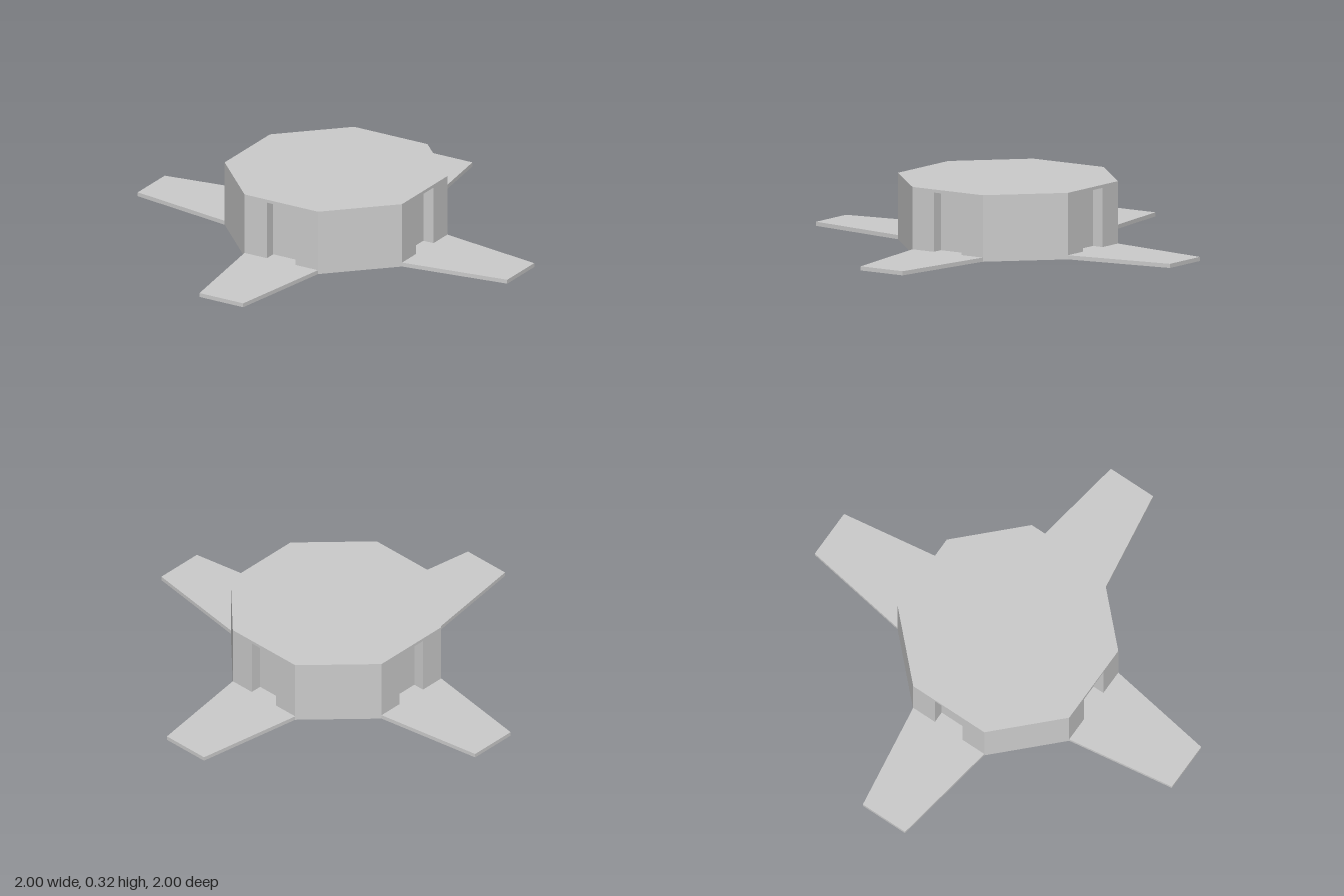
import * as THREE from 'three';

const R = 0.535, C = R * Math.SQRT1_2; // octagon corner radius and its 45 degree coordinate

// Repeat one quarter of a plan outline around the vertical axis
function plan(quarter) {
  const points = [];
  for (let k = 0; k < 4; k++) {
    for (const [x, y] of quarter) {
      points.push(new THREE.Vector2(x, y).rotateAround(new THREE.Vector2(), k * Math.PI / 2));
    }
  }
  return new THREE.Shape(points);
}

export function createModel() {
  const group = new THREE.Group();
  const material = new THREE.MeshStandardMaterial({ color: 0xcccccc, flatShading: true });

  const addLayer = (name, quarter, bottom, top) => {
    const geometry = new THREE.ExtrudeGeometry(plan(quarter), { depth: top - bottom, bevelEnabled: false });
    geometry.rotateX(-Math.PI / 2);
    const mesh = new THREE.Mesh(geometry, material);
    mesh.name = name;
    mesh.position.y = bottom;
    group.add(mesh);
  };

  // Doorway recess in the octagon side between (R, 0) and (C, C)
  const a = new THREE.Vector2(R, 0), b = new THREE.Vector2(C, C);
  const along = b.clone().sub(a).normalize();
  const inward = new THREE.Vector2(-along.y, along.x);
  const middle = a.clone().add(b).multiplyScalar(0.5);
  const doorPoint = (s, depth) =>
    middle.clone().addScaledVector(along, s).addScaledVector(inward, depth).toArray();
  const half = 0.08, depth = 0.057;

  // Thin floor with four tapering walkways
  addLayer('floorWithWalkways', [[R, 0], [1, 0.28], [0.907, 0.505], [C, C]], 0, 0.02);

  // Octagonal hall with four recessed doorways
  addLayer('hallWalls', [
    [R, 0], doorPoint(-half, 0), doorPoint(-half, depth),
    doorPoint(half, depth), doorPoint(half, 0), [C, C],
  ], 0.02, 0.305);

  // Flat roof, closing the doorways above
  addLayer('roof', [[R, 0], [C, C]], 0.305, 0.32);

  return group;
}
